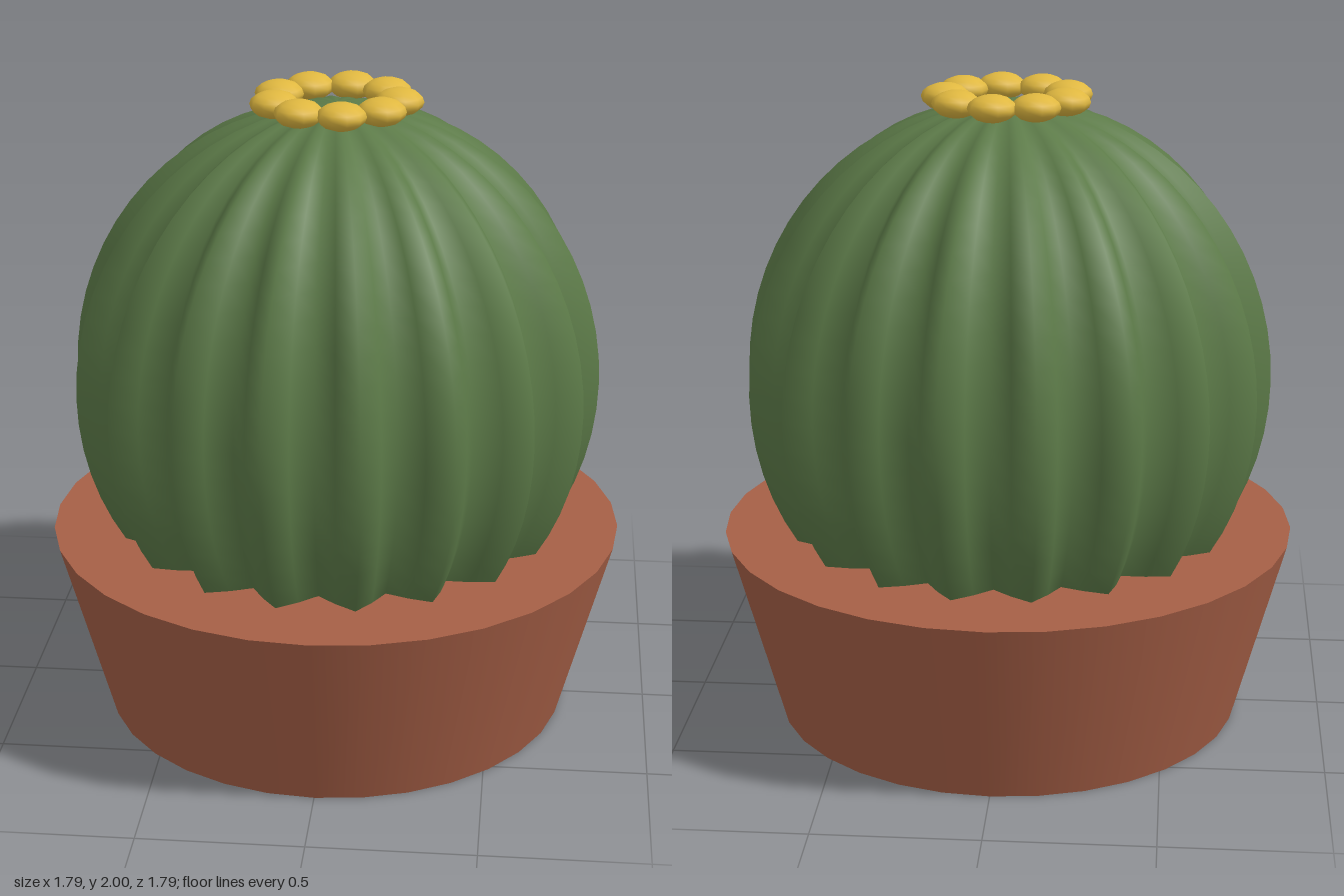
import * as THREE from 'three';

const RIBS = 18;
const FLOWERS = 9;

function material(name, color) {
  const m = new THREE.MeshStandardMaterial({ color });
  m.name = name;
  return m;
}

function addMesh(parent, name, geometry, mat, x, y, z) {
  const mesh = new THREE.Mesh(geometry, mat);
  mesh.name = name;
  mesh.position.set(x, y, z);
  parent.add(mesh);
  return mesh;
}

// Tall sphere whose radius swells and shrinks around the axis to form ribs
function ribbedBody(radius, depth, stretch) {
  const geometry = new THREE.SphereGeometry(radius, RIBS * 4, 32);
  const p = geometry.attributes.position;
  for (let i = 0; i < p.count; i++) {
    const angle = Math.atan2(p.getZ(i), p.getX(i));
    const swell = 1 + depth * Math.cos(RIBS * angle);
    p.setXYZ(i, p.getX(i) * swell, p.getY(i) * stretch, p.getZ(i) * swell);
  }
  geometry.computeVertexNormals();
  return geometry;
}

export function createModel() {
  const model = new THREE.Group();
  model.name = 'pottedCactus';
  const terracotta = material('terracotta', 0xa65f46);
  const green = material('cactus green', 0x5c7a48);
  const yellow = material('flower yellow', 0xe0b840);

  // Tapered solid pot
  addMesh(model, 'pot', new THREE.CylinderGeometry(0.893, 0.73, 0.6, 32), terracotta, 0, 0.3, 0);

  // Ribbed cactus
  addMesh(model, 'cactusBody', ribbedBody(0.755, 0.08, 1.15), green, 0, 1.08, 0);

  // Ring of flattened flower buds on the crown
  const crown = new THREE.Group();
  crown.name = 'flowerCrown';
  model.add(crown);
  const bud = new THREE.SphereGeometry(0.075, 10, 8);
  bud.scale(1, 0.55, 1);
  for (let i = 0; i < FLOWERS; i++) {
    const a = (i / FLOWERS) * Math.PI * 2;
    addMesh(crown, 'flowerBud', bud, yellow, Math.cos(a) * 0.189, 1.959, Math.sin(a) * 0.189);
  }
  return model;
}
